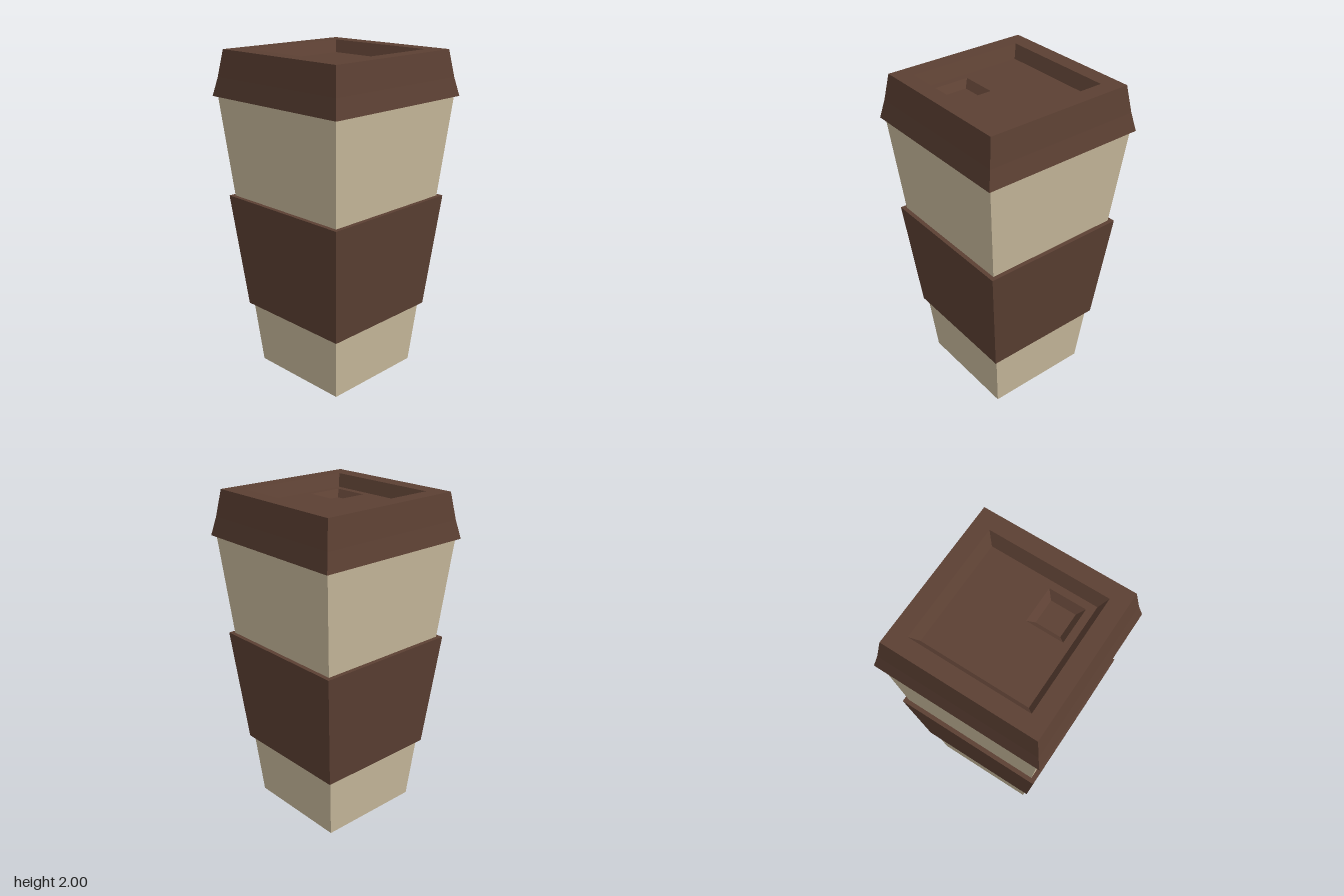
import * as THREE from 'three';

const cream = new THREE.MeshStandardMaterial({ color: 0xcbbc9e });
cream.name = 'cream cup';
const brown = new THREE.MeshStandardMaterial({ color: 0x5c4033 });
brown.name = 'dark brown';

// Four-sided flat-faced lathe with its corners on the x and z axes
function squareLathe(name, profile, material) {
  const points = profile.map(([r, y]) => new THREE.Vector2(r, y));
  const geometry = new THREE.LatheGeometry(points, 4).toNonIndexed();
  geometry.computeVertexNormals();
  const mesh = new THREE.Mesh(geometry, material);
  mesh.name = name;
  return mesh;
}

// Corner points of a square turned by 45 degrees
function diamond(r, cy = 0) {
  return [[r, 0], [0, r], [-r, 0], [0, -r]].map(([x, y]) => new THREE.Vector2(x, y + cy));
}

export function createModel() {
  const model = new THREE.Group();
  model.name = 'takeawayCup';

  // Tapered cup body with closed base
  model.add(squareLathe('cupBody', [[0, 0], [0.47, 0], [0.692, 1.74]], cream));

  // Sleeve with narrow ledges at its top and bottom
  model.add(squareLathe('sleeve', [[0.515, 0.4], [0.552, 0.4], [0.65, 1.12], [0.605, 1.12]], brown));

  // Lid: underside lip, sloped sides, rim and recess walls
  const lid = new THREE.Group();
  lid.name = 'lid';
  const floorY = 1.927;
  const sipZ = 0.24;
  lid.add(squareLathe('lidShell', [
    [0.68, 1.73], [0.722, 1.73], [0.687, 1.84], [0.65, 2], [0.51, 2], [0.455, floorY],
  ], brown));

  // Recessed floor with an opening for the sip pocket
  const floorShape = new THREE.Shape(diamond(0.455));
  floorShape.holes.push(new THREE.Path(diamond(0.155, -sipZ)));
  const floor = new THREE.Mesh(new THREE.ShapeGeometry(floorShape), brown);
  floor.name = 'lidFloor';
  floor.rotation.x = -Math.PI / 2;
  floor.position.y = floorY;
  lid.add(floor);

  // Sip pocket sunk into the floor near the front corner
  const pocket = squareLathe('sipPocket', [[0.155, floorY], [0.105, 1.885], [0, 1.885]], brown);
  pocket.position.z = sipZ;
  lid.add(pocket);

  model.add(lid);
  return model;
}
